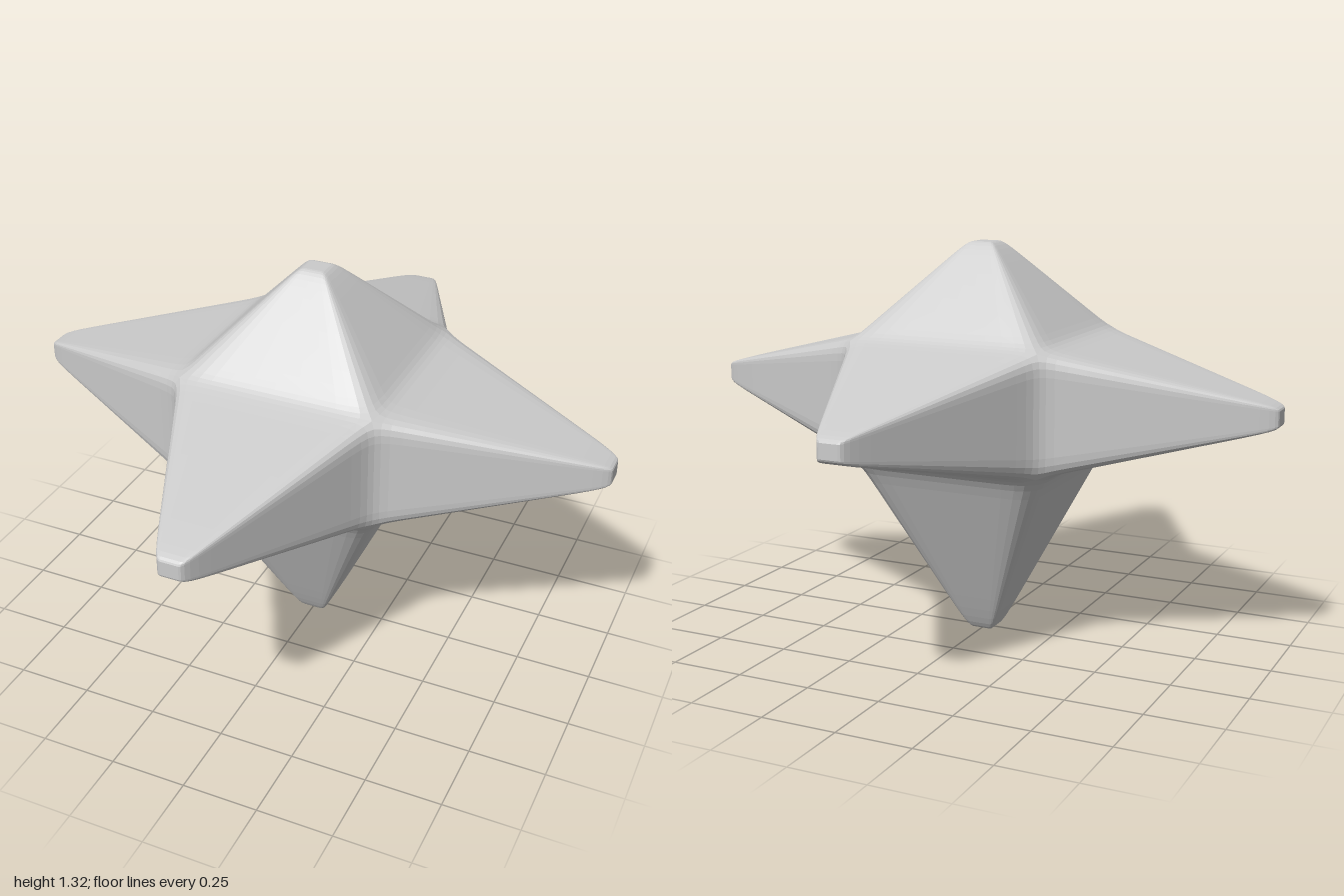
import * as THREE from 'three';

// One Catmull-Clark step on a closed quad mesh
function subdivide({ points, quads }) {
  const sum = (list) => list.reduce((s, p) => s.add(p), new THREE.Vector3());
  const mean = (list) => sum(list).divideScalar(list.length);
  const out = points.map(() => null);
  const edges = new Map();
  const around = points.map(() => ({ faces: [], mids: [] }));
  const centres = quads.map((q) => mean(q.map((i) => points[i])));
  const key = (a, b) => (a < b ? a + '_' + b : b + '_' + a);

  quads.forEach((q, f) => q.forEach((a, k) => {
    const b = q[(k + 1) % 4];
    const id = key(a, b);
    if (!edges.has(id)) edges.set(id, { a, b, faces: [] });
    edges.get(id).faces.push(centres[f]);
    around[a].faces.push(centres[f]);
  }));

  const centreIndex = centres.map((c) => out.push(c) - 1);
  for (const e of edges.values()) {
    const ends = [points[e.a], points[e.b]];
    const mid = mean(ends);
    around[e.a].mids.push(mid);
    around[e.b].mids.push(mid);
    e.index = out.push(mean([...ends, ...e.faces])) - 1;
  }
  points.forEach((p, i) => {
    const n = around[i].faces.length;
    out[i] = mean(around[i].faces)
      .addScaledVector(mean(around[i].mids), 2)
      .addScaledVector(p, n - 3)
      .divideScalar(n);
  });

  const next = [];
  quads.forEach((q, f) => q.forEach((a, k) => {
    const after = edges.get(key(a, q[(k + 1) % 4])).index;
    const before = edges.get(key(a, q[(k + 3) % 4])).index;
    next.push([a, after, centreIndex[f], before]);
  }));
  return { points: out, quads: next };
}

// Box core with a pointed four-sided arm drawn out of each of its six faces.
// Extra loops beside ridges and valleys keep them crisp when subdivided.
function starCage() {
  const core = [0.335, 0.2, 0.335];
  const tipHalf = [0.045, 0.036, 0.045];
  const reach = [[-1, 1], [-0.82, 0.5], [-1, 1]];
  const columns = [0, 0.2, 0.8, 1];
  const rows = [0, 0.12, 0.75, 1];
  const points = [];
  const quads = [];
  const known = new Map();

  // shared vertices are found again by position
  const vertex = (p) => {
    const id = p.toArray().map((n) => Math.round(n * 1e5)).join();
    if (!known.has(id)) known.set(id, points.push(p) - 1);
    return known.get(id);
  };

  // 3 x 3 patch between corners a, b (bottom) and d, c (top)
  const patch = (a, b, c, d, vs) => {
    const grid = vs.map((v) => columns.map((u) => vertex(
      a.clone().lerp(b, u).lerp(d.clone().lerp(c, u), v)
    )));
    for (let r = 0; r < 3; r++) {
      for (let k = 0; k < 3; k++) {
        quads.push([grid[r][k], grid[r][k + 1], grid[r + 1][k + 1], grid[r + 1][k]]);
      }
    }
  };

  for (let axis = 0; axis < 3; axis++) {
    for (const side of [0, 1]) {
      const u = (axis + 1) % 3;
      const v = (axis + 2) % 3;
      const loop = [[-1, -1], [1, -1], [1, 1], [-1, 1]];
      if (!side) loop.reverse();
      const ring = (half, along) => loop.map(([p, q]) => new THREE.Vector3()
        .setComponent(axis, along)
        .setComponent(u, p * half[u])
        .setComponent(v, q * half[v]));
      const base = ring(core, side ? core[axis] : -core[axis]);
      const tip = ring(tipHalf, reach[axis][side]);
      patch(...tip, columns);
      for (let k = 0; k < 4; k++) {
        const n = (k + 1) % 4;
        patch(base[k], base[n], tip[n], tip[k], rows);
      }
    }
  }
  return { points, quads };
}

export function createModel() {
  const group = new THREE.Group();
  group.name = 'sixPointedStar';

  let mesh = starCage();
  for (let i = 0; i < 2; i++) mesh = subdivide(mesh);

  const geometry = new THREE.BufferGeometry().setFromPoints(mesh.points);
  geometry.setIndex(mesh.quads.flatMap(([a, b, c, d]) => [a, b, c, a, c, d]));
  geometry.computeVertexNormals();

  const star = new THREE.Mesh(
    geometry,
    new THREE.MeshStandardMaterial({ color: 0xcccccc, flatShading: true })
  );
  star.name = 'starBody';
  star.position.y = 0.82;
  group.add(star);
  return group;
}
